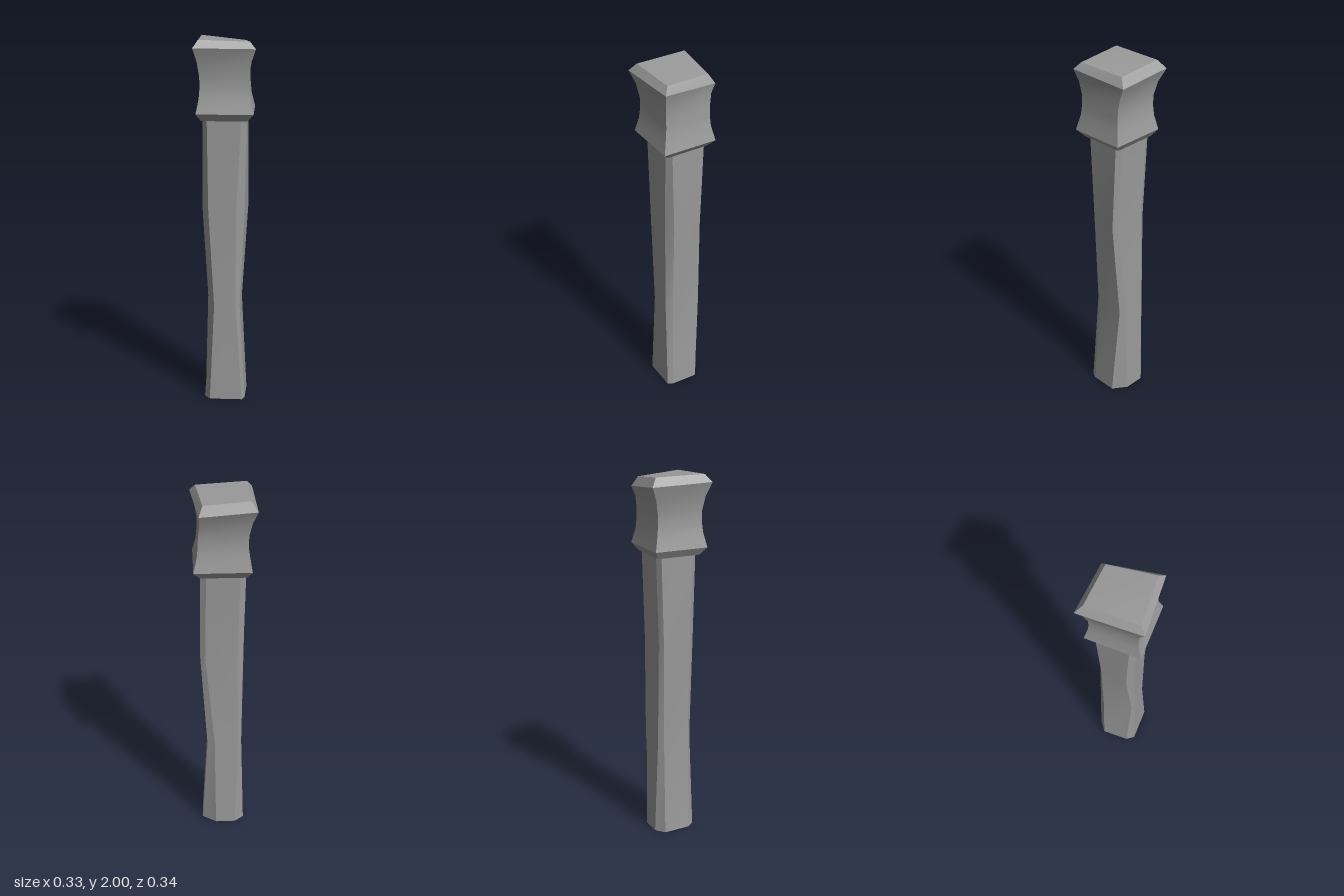
import * as THREE from 'three';

const material = new THREE.MeshStandardMaterial({ color: 0x9a9a9a, side: THREE.DoubleSide });

function makeMesh(name, positions, index) {
  const geometry = new THREE.BufferGeometry();
  geometry.setAttribute('position', new THREE.Float32BufferAttribute(positions, 3));
  geometry.setIndex(index);
  geometry.computeVertexNormals();
  const mesh = new THREE.Mesh(geometry, material);
  mesh.name = name;
  return mesh;
}

// Skins rings of [x, y, z] corners; each side is its own strip,
// smooth along its length and creased at the corners.
function loft(name, rings) {
  const positions = [], index = [];
  const count = rings[0].length;
  for (let side = 0; side < count; side++) {
    rings.forEach((ring, r) => {
      const k = positions.length / 3;
      positions.push(...ring[side], ...ring[(side + 1) % count]);
      if (r > 0) index.push(k - 2, k - 1, k + 1, k - 2, k + 1, k);
    });
  }
  return makeMesh(name, positions, index);
}

// Closes a four-cornered ring, facing up or down
const lid = (name, ring, up) =>
  makeMesh(name, ring.flat(), up ? [0, 1, 2, 0, 2, 3] : [0, 2, 1, 0, 3, 2]);

const level = (y, corners) => corners.map(([x, z]) => [x, y, z]);

// Square ring, corners counterclockwise from above
const square = (y, left, right, back, front) =>
  level(y, [[right, front], [right, back], [left, back], [left, front]]);

export function createModel() {
  const group = new THREE.Group();
  group.name = 'post';

  // Hewn shaft: eight-sided sections with uneven chamfers, open at the foot
  const shaft = [
    level(0, [[0.10, 0.11], [0.115, 0.08], [0.12, -0.067], [0.045, -0.12],
      [-0.065, -0.12], [-0.115, -0.08], [-0.11, 0.07], [-0.08, 0.11]]),
    level(0.55, [[0.062, 0.098], [0.084, 0.064], [0.09, -0.10], [0.05, -0.112],
      [-0.08, -0.107], [-0.10, -0.08], [-0.07, 0.083], [-0.055, 0.10]]),
    level(1.1, [[0.065, 0.10], [0.11, 0.07], [0.125, -0.08], [0.098, -0.098],
      [-0.075, -0.098], [-0.105, -0.082], [-0.118, 0.065], [-0.085, 0.10]]),
    level(1.58, [[0.09, 0.11], [0.118, 0.085], [0.12, -0.10], [0.09, -0.116],
      [-0.085, -0.117], [-0.115, -0.10], [-0.115, 0.08], [-0.09, 0.11]]),
  ];

  // Cap: lower bevel, waisted neck, crooked upper bevel and top
  const capBase = square(1.58, -0.12, 0.12, -0.118, 0.118);
  const capFoot = square(1.62, -0.145, 0.155, -0.147, 0.152);
  const capRim = [[0.165, 1.955, 0.15], [0.125, 1.925, -0.157],
    [-0.167, 1.955, -0.174], [-0.158, 1.96, 0.171]];
  const capTop = [[0.135, 1.99, 0.123], [0.105, 1.975, -0.128],
    [-0.133, 2.0, -0.14], [-0.13, 2.0, 0.14]];

  const neck = [
    capFoot,
    square(1.70, -0.129, 0.136, -0.13, 0.134),
    square(1.755, -0.125, 0.131, -0.125, 0.128),
    square(1.81, -0.126, 0.129, -0.126, 0.128),
    [[0.143, 1.89, 0.135], [0.122, 1.875, -0.136],
      [-0.142, 1.885, -0.142], [-0.138, 1.89, 0.143]],
    capRim,
  ];

  group.add(
    loft('shaft', shaft),
    lid('capUnderside', capBase, false),
    loft('capLowerBevel', [capBase, capFoot]),
    loft('capNeck', neck),
    loft('capUpperBevel', [capRim, capTop]),
    lid('capTop', capTop, true),
  );
  return group;
}
